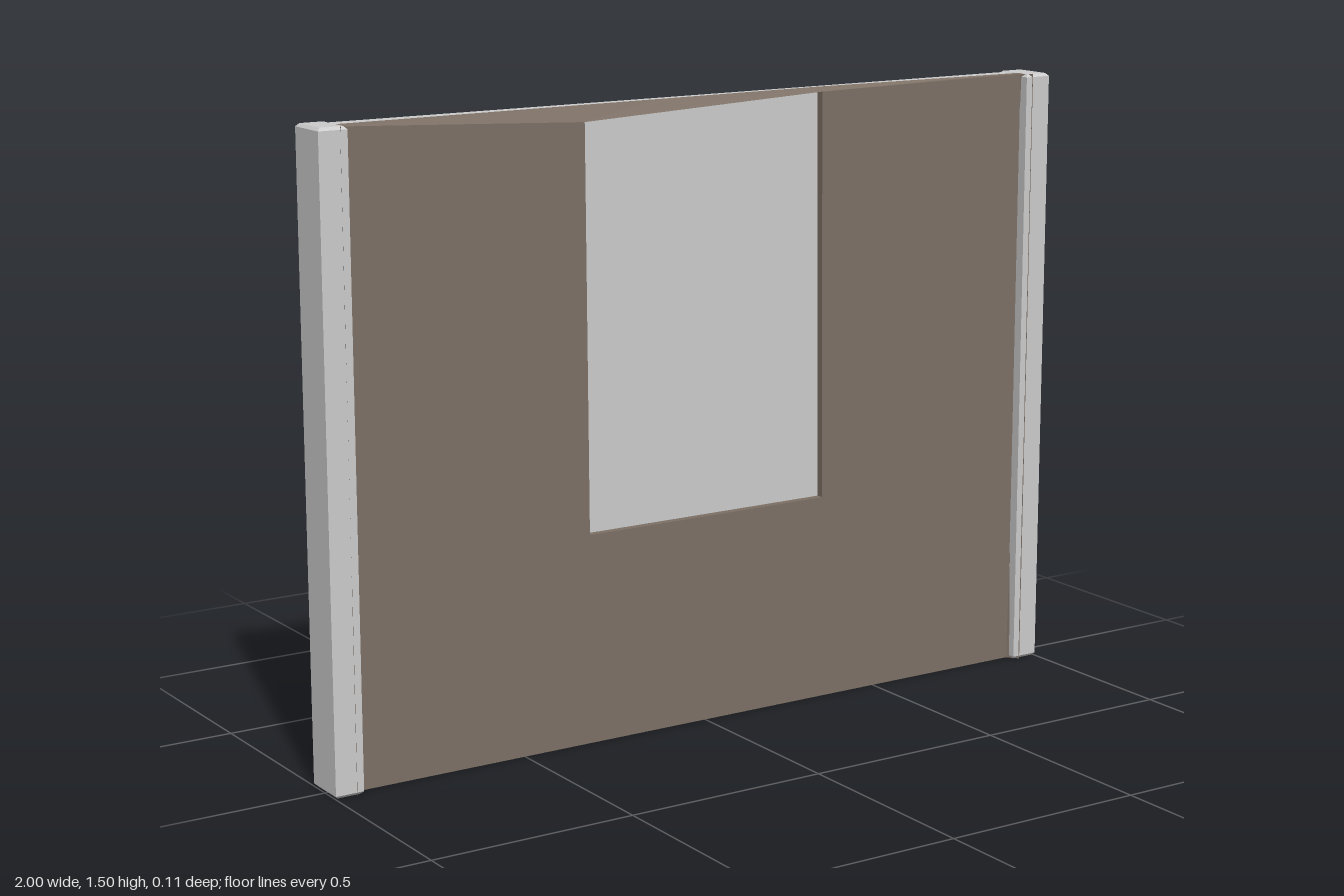
import * as THREE from 'three';

const grey = new THREE.MeshStandardMaterial({ color: 0xcccccc, flatShading: true });
const brown = new THREE.MeshStandardMaterial({ color: 0x7d7065, flatShading: true, side: THREE.DoubleSide });

function add(group, name, geometry, material) {
  const mesh = new THREE.Mesh(geometry, material);
  mesh.name = name;
  group.add(mesh);
  return mesh;
}

const polygon = (points) => new THREE.Shape(points.map(([x, y]) => new THREE.Vector2(x, y)));

// Sheet of flat strips between two rows of [x, y, z] points
function strip(a, b) {
  const positions = [];
  for (let i = 0; i < a.length - 1; i++) {
    positions.push(...a[i], ...a[i + 1], ...b[i + 1], ...a[i], ...b[i + 1], ...b[i]);
  }
  const geometry = new THREE.BufferGeometry();
  geometry.setAttribute('position', new THREE.Float32BufferAttribute(positions, 3));
  geometry.computeVertexNormals();
  return geometry;
}

export function createModel() {
  const model = new THREE.Group();

  // Flat wall between the posts
  const wall = add(model, 'wallPanel', new THREE.BoxGeometry(1.9, 1.498, 0.05), grey);
  wall.position.set(0, 0.749, -0.015);

  // Bevelled end posts
  const b = 0.007;
  for (const side of [-1, 1]) {
    const profile = polygon([
      [-0.035 + b, -0.055 + b], [0.035 - b, -0.055 + b],
      [0.035 - b, 0.055 - b], [-0.035 + b, 0.055 - b],
    ]);
    const geometry = new THREE.ExtrudeGeometry(profile, {
      depth: 1.5 - 2 * b, bevelThickness: b, bevelSize: b, bevelSegments: 1,
    });
    geometry.rotateX(-Math.PI / 2).translate(side * 0.965, b, 0);
    add(model, side > 0 ? 'leftPost' : 'rightPost', geometry, grey);
  }

  // Thin uneven cladding with an open bay in the middle
  const front = 0.03, back = 0.011;
  const cladding = polygon([
    [-0.94, 0], [0.94, 0], [0.94, 1.5], [0.33, 1.493],
    [0.34, 0.505], [-0.32, 0.505], [-0.325, 1.465], [-0.94, 1.497],
  ]);
  const sheet = new THREE.ExtrudeGeometry(cladding, { depth: front - back, bevelEnabled: false });
  add(model, 'cladding', sheet.translate(0, 0, back), brown);

  // Sloping lip from the cladding's top edge back to the wall
  const lipFront = [[-0.94, 1.497, front], [-0.325, 1.465, front], [0.33, 1.493, front], [0.94, 1.5, front]];
  const lipBack = [[-0.94, 1.5, back], [-0.12, 1.502, back], [0.33, 1.503, back], [0.94, 1.5, back]];
  add(model, 'claddingLip', strip(lipFront, lipBack), brown);

  // Narrow flares where the cladding turns up against the posts
  for (const side of [-1, 1]) {
    const inner = [[0.925, 0], [0.934, 0.5], [0.94, 1], [0.928, 1.5]].map(([x, y]) => [side * x, y, front + 0.001]);
    const outer = inner.map(([, y]) => [side * 0.948, y, 0.0565]);
    add(model, side > 0 ? 'leftFlare' : 'rightFlare', strip(inner, outer), brown);
  }

  return model;
}
